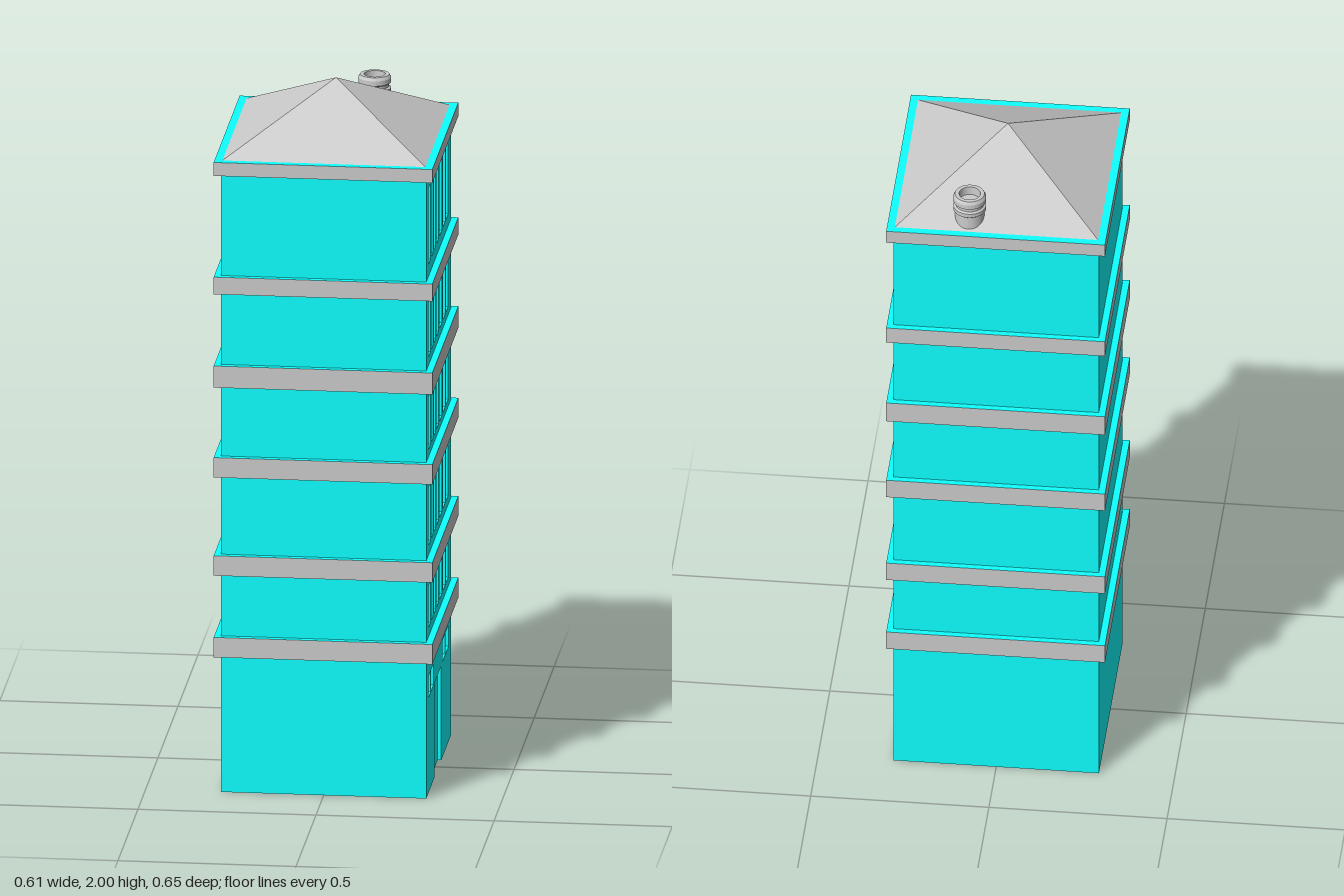
import * as THREE from 'three';

const grey = new THREE.MeshStandardMaterial({ color: 0xcccccc });
const flatGrey = new THREE.MeshStandardMaterial({ color: 0xcccccc, flatShading: true });
const cyan = new THREE.MeshStandardMaterial({ color: 0x0effff });

const HX = 0.288, HZ = 0.307, TOP = 1.81; // half width, half depth, wall height
const RECESS = 0.02;

function add(parent, name, geometry, material, x = 0, y = 0, z = 0) {
  const mesh = new THREE.Mesh(geometry, material);
  mesh.name = name;
  mesh.position.set(x, y, z);
  parent.add(mesh);
  return mesh;
}

// Rectangular opening; u runs towards -z along the window wall
function opening(u0, u1, y0, y1) {
  return new THREE.Path([[u0, y0], [u0, y1], [u1, y1], [u1, y0]].map(p => new THREE.Vector2(...p)));
}

// Wall sheet with window openings and a door notch
function windowWall() {
  const wall = new THREE.Shape([
    [-HZ, 0], [-0.103, 0], [-0.103, 0.275], [0.066, 0.275],
    [0.066, 0], [HZ, 0], [HZ, TOP], [-HZ, TOP],
  ].map(p => new THREE.Vector2(...p)));

  const columns = [[-0.246, -0.198], [-0.18, -0.135], [-0.114, -0.071], [-0.05, 0.003],
    [0.029, 0.082], [0.108, 0.167], [0.188, 0.241]];
  const rows = [[0.481, 0.603], [0.72, 0.889], [1.0, 1.153], [1.27, 1.429], [1.54, 1.762]];
  for (const [y0, y1] of rows)
    for (const [u0, u1] of columns) wall.holes.push(opening(u0, u1, y0, y1));

  // paired small windows either side of the door
  for (const [u0, u1] of [[-0.251, -0.124], [0.098, 0.251]])
    wall.holes.push(opening(u0, u1, 0.277, 0.339));

  const geometry = new THREE.ExtrudeGeometry(wall, { depth: RECESS, bevelEnabled: false });
  return geometry.rotateY(Math.PI / 2);
}

export function createModel() {
  const model = new THREE.Group();
  model.name = 'tower';

  // Solid core, with the pierced wall on its left side
  add(model, 'towerCore', new THREE.BoxGeometry(2 * HX - RECESS, TOP, 2 * HZ), cyan, -RECESS / 2, TOP / 2);
  add(model, 'windowWall', windowWall(), cyan, HX - RECESS);

  // Door panel and small window dividers
  add(model, 'door', new THREE.BoxGeometry(0.01, 0.275, 0.169), cyan, HX - RECESS + 0.005, 0.1375, 0.0185);
  for (const z of [0.188, -0.177])
    add(model, 'windowDivider', new THREE.BoxGeometry(RECESS, 0.062, 0.003), cyan, HX - RECESS / 2 - 0.001, 0.308, z);

  // Ledges between floors and the eaves: grey edges, cyan top and bottom
  const ledges = [[0.397, 0.455], [0.635, 0.693], [0.921, 0.979], [1.183, 1.246], [1.455, 1.505], [1.8, 1.839]];
  ledges.forEach(([y0, y1], i) => {
    add(model, i === ledges.length - 1 ? 'eaves' : 'floorLedge', new THREE.BoxGeometry(0.614, y1 - y0, 0.65),
      [grey, grey, cyan, cyan, grey, grey], 0, (y0 + y1) / 2, 0);
  });

  // Pyramid roof
  const roof = new THREE.ConeGeometry(Math.SQRT2, 0.161, 4).rotateY(Math.PI / 4).scale(0.285, 1, 0.303);
  add(model, 'roof', roof, flatGrey, 0, 1.9195, 0);

  // Ringed chimney with a sunken top
  const profile = [[0.041, 1.839], [0.041, 1.882], [0.046, 1.886], [0.046, 1.898], [0.04, 1.902],
    [0.04, 1.91], [0.046, 1.914], [0.046, 1.928], [0.041, 1.937], [0.03, 1.937], [0.029, 1.912], [0, 1.912]]
    .map(p => new THREE.Vector2(...p));
  add(model, 'chimney', new THREE.LatheGeometry(profile, 32), flatGrey, 0.08, 0, -0.255);

  return model;
}
